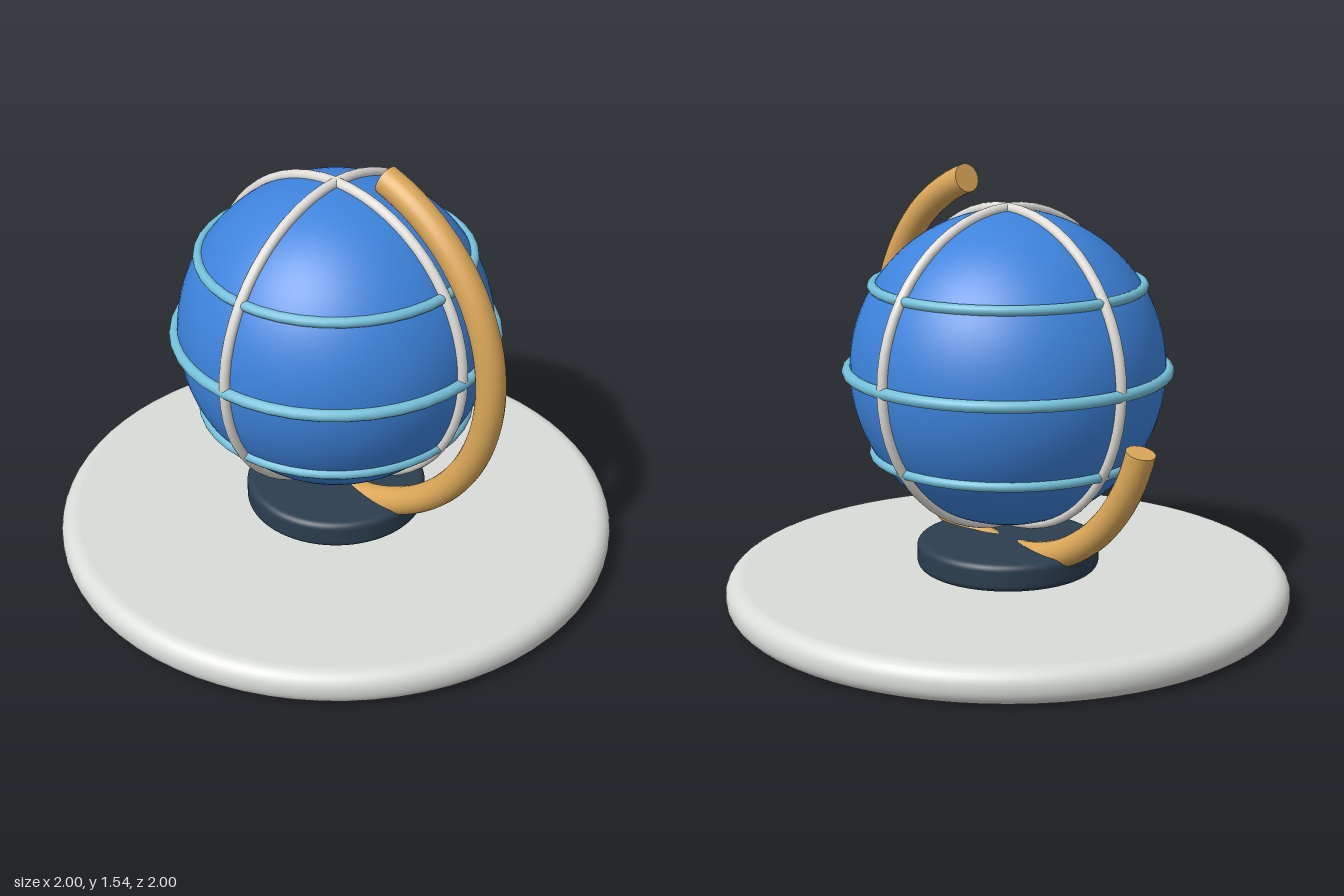
import * as THREE from 'three';

const paint = (name, color) => {
  const m = new THREE.MeshStandardMaterial({ color });
  m.name = name;
  return m;
};

export function createModel() {
  const model = new THREE.Group();
  model.name = 'globeOnStand';

  const paleGrey = paint('pale grey', 0xd9dcd8);
  const navy = paint('dark navy', 0x2c3e50);
  const blue = paint('ocean blue', 0x3d83dc);
  const lightBlue = paint('light blue', 0x74bfd9);
  const ivory = paint('ivory', 0xdfdcd6);
  const brass = paint('golden tan', 0xdba758);

  const centreY = 0.857;
  const yaw = -0.23; // turn shared by the arm and the meridians

  const add = (parent, name, geometry, material) => {
    const mesh = new THREE.Mesh(geometry, material);
    mesh.name = name;
    parent.add(mesh);
    return mesh;
  };

  // Disc with rounded rims, from y0 to y1
  const roundedDisc = (radius, y0, y1, corner) => {
    const flat = radius - corner;
    const points = [new THREE.Vector2(0, y0), new THREE.Vector2(flat - 0.002, y0)];
    const arc = (cy, from) => {
      for (let i = 0; i <= 8; i++) {
        const a = from + (i / 8) * Math.PI / 2;
        points.push(new THREE.Vector2(flat + corner * Math.cos(a), cy + corner * Math.sin(a)));
      }
    };
    arc(y0 + corner, -Math.PI / 2);
    arc(y1 - corner, 0);
    points.push(new THREE.Vector2(flat - 0.002, y1), new THREE.Vector2(0, y1));
    return new THREE.LatheGeometry(points, 72);
  };

  add(model, 'base', roundedDisc(1, 0, 0.126, 0.058), paleGrey);
  add(model, 'pedestal', roundedDisc(0.322, 0.138, 0.237, 0.025), navy);

  // Globe with its wire rings
  const globe = new THREE.Group();
  globe.name = 'globe';
  globe.position.y = centreY;
  globe.rotation.y = yaw;
  model.add(globe);
  add(globe, 'sphere', new THREE.SphereGeometry(0.55, 64, 40), blue);

  for (const [name, y, radius, tube] of [
    ['equatorRing', -0.004, 0.557, 0.021],
    ['northRing', 0.293, 0.468, 0.018],
    ['southRing', -0.297, 0.468, 0.018],
  ]) {
    const ring = add(globe, name, new THREE.TorusGeometry(radius, tube, 12, 40), lightBlue);
    ring.rotation.x = Math.PI / 2;
    ring.position.y = y;
  }
  for (let i = 0; i < 2; i++) {
    const ring = add(globe, 'meridianRing', new THREE.TorusGeometry(0.556, 0.019, 12, 56), ivory);
    ring.rotation.y = i * Math.PI / 2;
  }

  // Curved arm: open ring from lower left, under the globe, to upper right
  const arm = new THREE.Group();
  arm.name = 'arm';
  arm.position.y = centreY;
  arm.rotation.y = yaw;
  model.add(arm);
  const armRadius = 0.673, armTube = 0.051;
  const start = THREE.MathUtils.degToRad(-164.8);
  const end = THREE.MathUtils.degToRad(71.4);
  const bow = add(arm, 'armBow', new THREE.TorusGeometry(armRadius, armTube, 20, 64, end - start), brass);
  bow.rotation.z = start;
  for (const [angle, side] of [[start, 1], [end, -1]]) {
    const cap = add(arm, 'armEnd', new THREE.CircleGeometry(armTube, 20), brass);
    cap.position.set(armRadius * Math.cos(angle), armRadius * Math.sin(angle), 0);
    // Face outward along the arc tangent
    cap.rotation.set(side * Math.PI / 2, 0, angle, 'ZXY');
  }

  return model;
}
